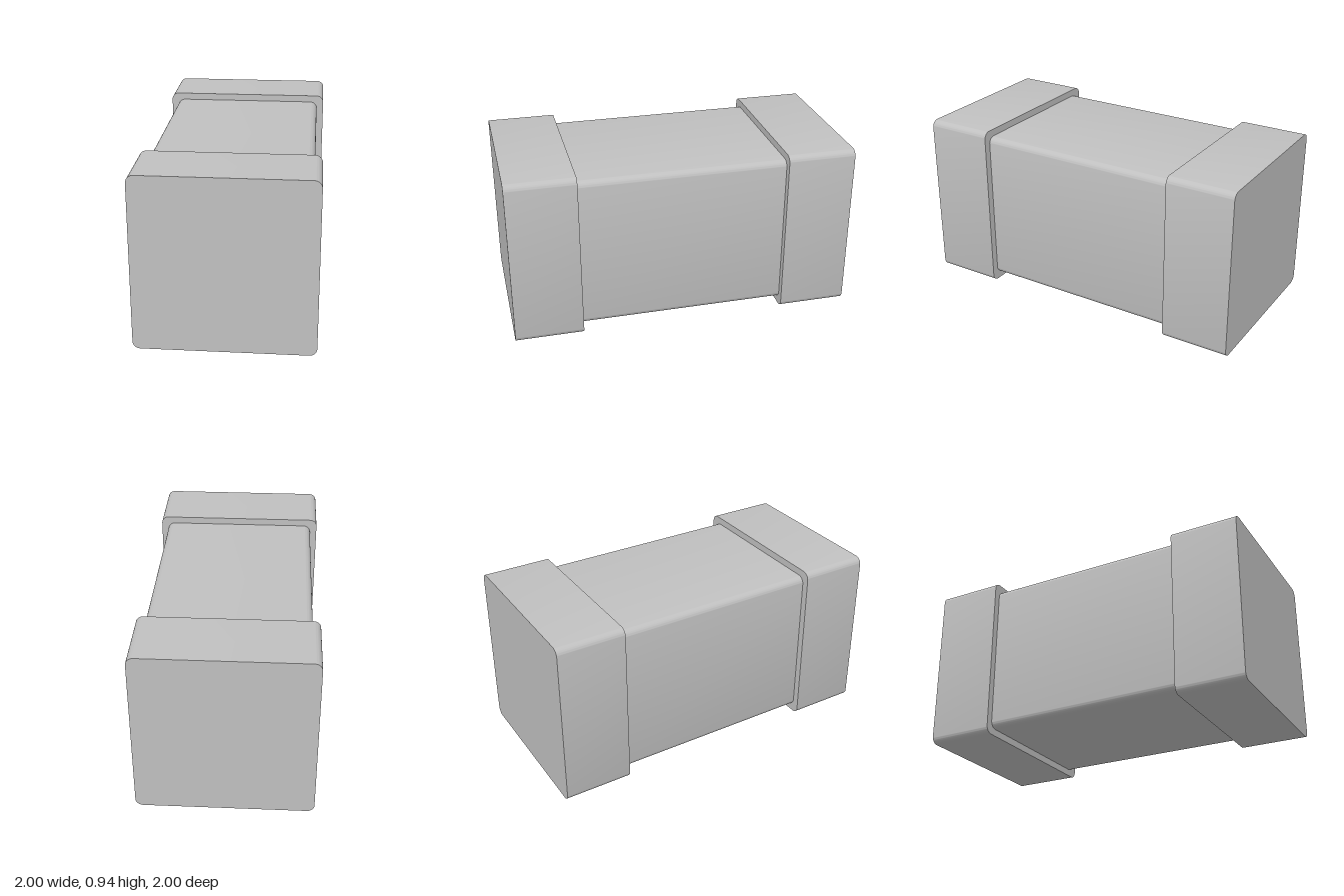
import * as THREE from 'three';
import { toCreasedNormals } from 'three/addons/utils/BufferGeometryUtils.js';

const HEIGHT = 0.94;   // square section of the end caps
const LENGTH = 1.888;  // overall length along the block's own axis
const CAP = 0.375;     // length of each cap

// Square prism along z, with its four long edges rounded
function roundedBar(size, radius, length) {
  const h = size / 2, k = h - radius;
  const shape = new THREE.Shape();
  shape.absarc(k, k, radius, 0, Math.PI / 2);
  shape.absarc(-k, k, radius, Math.PI / 2, Math.PI);
  shape.absarc(-k, -k, radius, Math.PI, Math.PI * 1.5);
  shape.absarc(k, -k, radius, Math.PI * 1.5, Math.PI * 2);
  const geometry = new THREE.ExtrudeGeometry(shape, { depth: length, bevelEnabled: false, curveSegments: 8 });
  geometry.translate(0, 0, -length / 2);
  return toCreasedNormals(geometry, 0.5);
}

export function createModel() {
  const model = new THREE.Group();
  model.name = 'cappedBlock';
  const grey = new THREE.MeshStandardMaterial({ color: 0xc0c0c0 });
  grey.name = 'light grey';

  // Slimmer middle section, running slightly into both caps
  const body = new THREE.Mesh(roundedBar(0.862, 0.04, LENGTH - 2 * CAP + 0.04), grey);
  body.name = 'body';
  model.add(body);

  // Wider cap on each end
  const capGeometry = roundedBar(HEIGHT, 0.04, CAP);
  for (const side of [-1, 1]) {
    const cap = new THREE.Mesh(capGeometry, grey);
    cap.name = side < 0 ? 'backCap' : 'frontCap';
    cap.position.z = side * (LENGTH - CAP) / 2;
    model.add(cap);
  }

  // Stand on the ground, turned diagonally
  model.rotation.y = -Math.PI / 4;
  model.position.y = HEIGHT / 2;
  return model;
}
